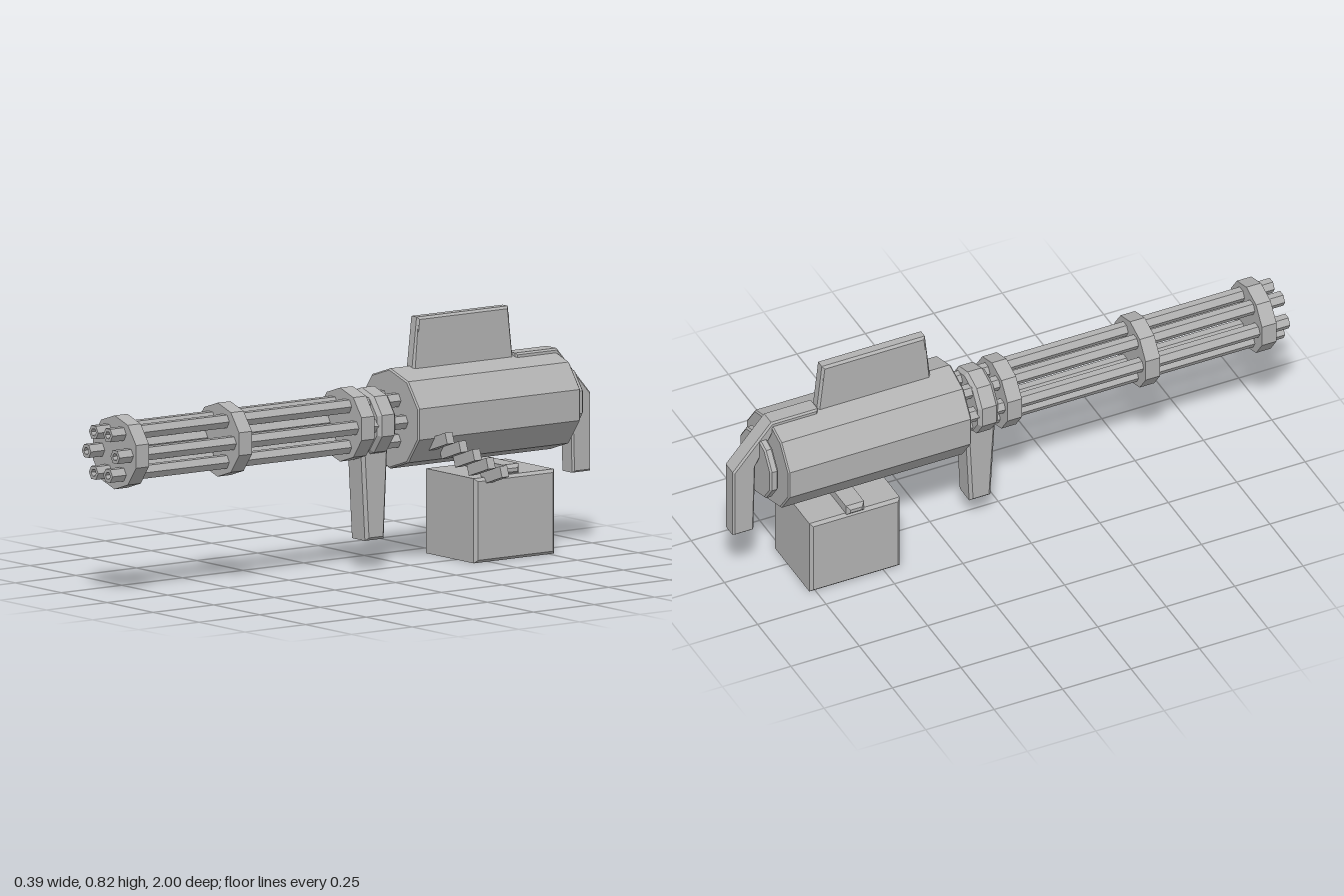
import * as THREE from 'three';

const AX = -0.035, AY = 0.49; // barrel axis

export function createModel() {
  const group = new THREE.Group();
  const gunmetal = new THREE.MeshStandardMaterial({ color: 0xb2b2b2, flatShading: true });
  gunmetal.name = 'grey metal';

  const add = (name, geometry) => {
    const mesh = new THREE.Mesh(geometry, gunmetal);
    mesh.name = name;
    group.add(mesh);
    return mesh;
  };

  const polygon = (n, r, start, PathType = THREE.Shape) => {
    const pts = [];
    for (let i = 0; i < n; i++) {
      const a = start + (i / n) * Math.PI * 2;
      pts.push(new THREE.Vector2(r * Math.cos(a), r * Math.sin(a)));
    }
    return new PathType(pts);
  };

  const extrude = (shape, length, bevel) => {
    const geo = new THREE.ExtrudeGeometry(shape, {
      depth: length - 2 * bevel, bevelEnabled: bevel > 0, bevelSize: bevel,
      bevelThickness: bevel, bevelOffset: -bevel, bevelSegments: 1,
    });
    return geo.translate(0, 0, bevel);
  };

  // Ten-sided prism along the barrel axis, one corner pointing up
  const prism = (name, r, z0, z1, bevel = 0) =>
    add(name, extrude(polygon(10, r, Math.PI / 2), z1 - z0, bevel).translate(AX, AY, z0));

  // Side profile of [z, y] points, extruded across x
  const slab = (name, points, x0, x1, bevel) => {
    const shape = new THREE.Shape(points.map(([z, y]) => new THREE.Vector2(z, y)));
    return add(name, extrude(shape, x1 - x0, bevel).rotateY(-Math.PI / 2).translate(x1, 0, 0));
  };

  // Housing, collar and rear cap
  prism('housing', 0.167, -0.86, -0.19, 0.005);
  prism('collar', 0.115, -0.14, -0.065, 0.012);
  prism('rearHub', 0.04, -0.88, -0.85);
  prism('rearCap', 0.122, -0.905, -0.875, 0.006);

  // Barrel clamps
  for (const z of [-0.04, 0.465, 0.89]) prism('barrelClamp', 0.123, z, z + 0.053);

  // Six hollow barrels
  for (let i = 0; i < 6; i++) {
    const a = (i * Math.PI) / 3;
    const shape = polygon(6, 0.025, 0);
    shape.holes.push(polygon(6, 0.013, 0, THREE.Path));
    add('barrel', extrude(shape, 1.2, 0)
      .translate(AX + 0.078 * Math.cos(a), AY + 0.078 * Math.sin(a), -0.2));
  }

  // Carrying handle
  slab('carryHandle', [
    [-0.272, 0.64], [-0.292, 0.82], [-0.668, 0.82], [-0.688, 0.64],
    [-0.652, 0.64], [-0.66, 0.785], [-0.3, 0.785], [-0.308, 0.64],
  ], -0.057, -0.013, 0.008);

  // Rear grip with its strap on the housing
  slab('rearGrip', [
    [-0.69, 0.64], [-0.69, 0.662], [-0.86, 0.662], [-1.0, 0.5], [-1.0, 0.24],
    [-0.925, 0.24], [-0.918, 0.5], [-0.862, 0.605], [-0.845, 0.64],
  ], -0.068, -0.004, 0.006);

  // Front grip
  slab('frontGrip', [[-0.045, 0.42], [-0.155, 0.42], [-0.14, 0.1], [-0.063, 0.1]],
    -0.08, 0.01, 0.01);

  // Ammunition box and the bar on its lid
  slab('ammoBox', [[-0.44, 0], [-0.44, 0.282], [-0.77, 0.282], [-0.77, 0]],
    -0.175, 0.105, 0.01);
  slab('lidBar', [[-0.572, 0.276], [-0.572, 0.312], [-0.638, 0.312], [-0.638, 0.276]],
    -0.18, 0.09, 0.012);

  // Belt of cartridges stepping down to the box
  for (let i = 0; i < 5; i++) {
    const round = add('cartridge', new THREE.BoxGeometry(0.112, 0.038, 0.03));
    round.position.set(0.133, 0.428 - i * 0.0335, -0.272 - i * 0.0565);
    round.rotation.z = 0.33;
  }

  return group;
}
